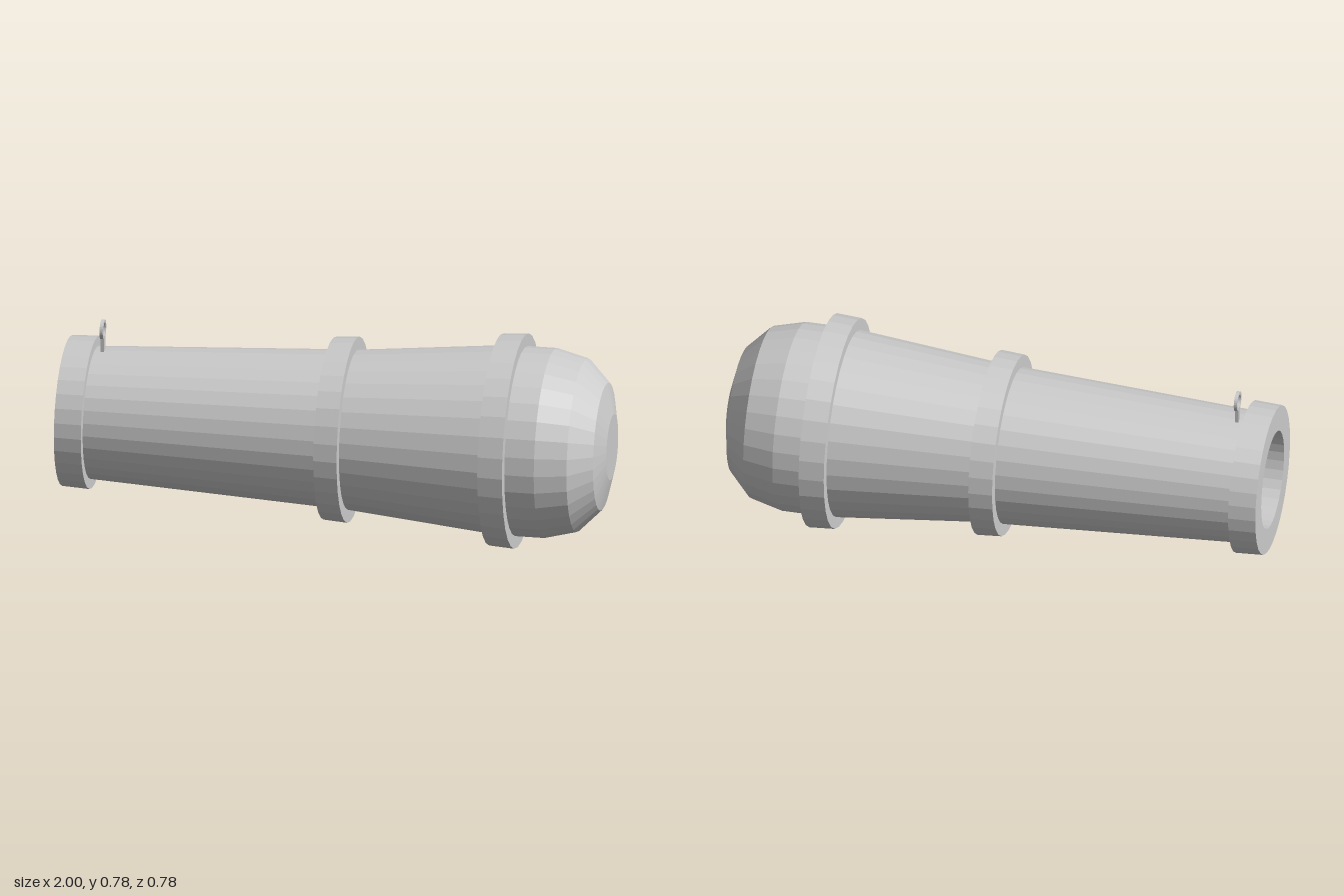
import * as THREE from 'three';

const AXIS_Y = 0.39;
const SIDES = 32;

export function createModel() {
  const model = new THREE.Group();
  const material = new THREE.MeshStandardMaterial({ color: 0xcccccc, flatShading: true });

  const add = (name, geometry) => {
    const mesh = new THREE.Mesh(geometry, material);
    mesh.name = name;
    model.add(mesh);
  };

  // Turned part along x, from [x, radius] pairs
  const turned = (name, profile) => {
    const points = profile.map(([x, r]) => new THREE.Vector2(r, x));
    const geometry = new THREE.LatheGeometry(points, SIDES);
    geometry.rotateZ(-Math.PI / 2).translate(0, AXIS_Y, 0);
    add(name, geometry);
  };

  // Bore and muzzle ring
  turned('muzzle', [[0.5, 0], [0.5, 0.18], [-1, 0.18], [-1, 0.273], [-0.9, 0.278], [-0.9, 0.23]]);

  // Tapered barrel sections
  turned('frontBarrel', [[-0.9, 0.241], [-0.035, 0.286]]);
  turned('rearBarrel', [[0.05, 0.29], [0.575, 0.341]]);

  // Raised bands
  const bands = [
    ['middleBand', -0.037, 0.05, 0.331, 0.337, 0.27],
    ['breechBand', 0.575, 0.667, 0.384, 0.39, 0.32],
  ];
  for (const [name, x0, x1, r0, r1, inner] of bands) {
    turned(name, [[x0, inner], [x0, r0], [x1, r1], [x1, inner]]);
  }

  // Rounded breech with a flat end
  turned('breech', [[0.667, 0.344], [0.775, 0.344], [0.89, 0.315], [0.972, 0.232], [1, 0.12], [1, 0]]);

  // Sight: small post carrying an upright ring
  const x = -0.87;
  const thickness = 0.012;
  add('sightPost', new THREE.BoxGeometry(thickness, 0.07, 0.03).translate(x, 0.65, 0));

  const ring = new THREE.Shape().absarc(0, 0, 0.036, 0, Math.PI * 2, false);
  ring.holes.push(new THREE.Path().absarc(0, 0, 0.025, 0, Math.PI * 2, true));
  const ringGeometry = new THREE.ExtrudeGeometry(ring, { depth: thickness, bevelEnabled: false, curveSegments: 16 });
  ringGeometry.translate(0, 0, -thickness / 2).rotateY(Math.PI / 2).translate(x, 0.714, 0);
  add('sightRing', ringGeometry);

  return model;
}
